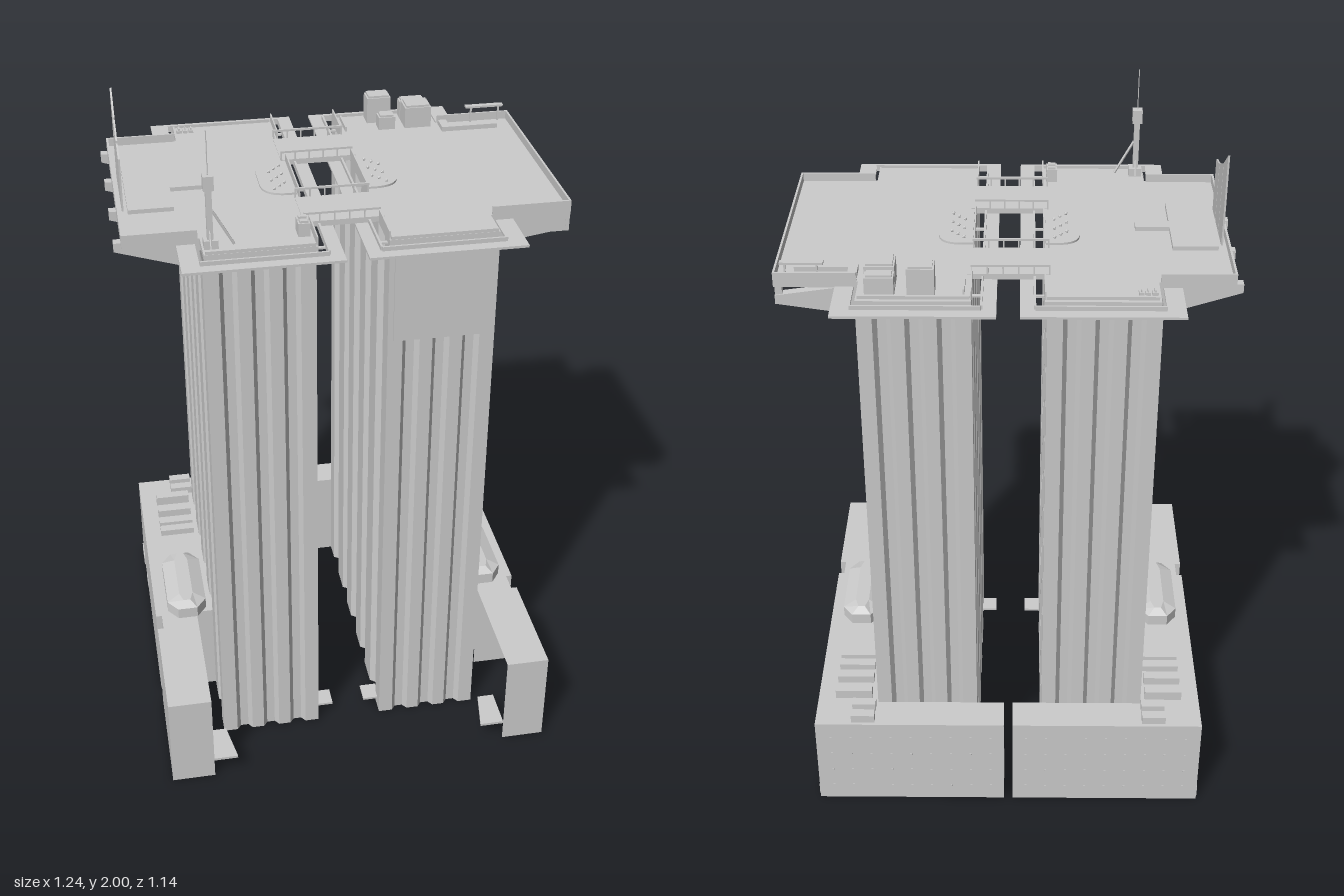
import * as THREE from 'three';

export function createModel() {
  const root = new THREE.Group();
  const mat = new THREE.MeshStandardMaterial({ color: 0xcccccc, flatShading: true, side: THREE.DoubleSide });
  const add = (name, geo) => {
    const m = new THREE.Mesh(geo, mat);
    m.name = name;
    root.add(m);
    return m;
  };
  // Box from its limits; faces listed in open (0 +x, 1 -x, 2 +y, 3 -y, 4 +z, 5 -z) are left out
  const box = (name, x0, x1, y0, y1, z0, z1, open = []) => {
    const g = new THREE.BoxGeometry(Math.abs(x1 - x0), y1 - y0, z1 - z0);
    g.translate((x0 + x1) / 2, (y0 + y1) / 2, (z0 + z1) / 2);
    if (open.length) g.setIndex([...g.index.array].filter((_, i) => !open.includes(Math.floor(i / 6))));
    return add(name, g);
  };
  // Plan outline of [x, z] points raised from y0 to y1
  const plan = (pts, y0, y1, hole) => {
    const v = p => p.map(([x, z]) => new THREE.Vector2(x, -z));
    const s = new THREE.Shape(v(pts));
    if (hole) s.holes.push(new THREE.Path(v(hole)));
    return new THREE.ExtrudeGeometry(s, { depth: y1 - y0, bevelEnabled: false }).rotateX(-Math.PI / 2).translate(0, y0, 0);
  };
  const rect = (x0, x1, z0, z1) => [[x0, z0], [x0, z1], [x1, z1], [x1, z0]];
  const beam = (name, a, b, r) => {
    const p = new THREE.Vector3(...a), q = new THREE.Vector3(...b);
    const m = add(name, new THREE.CylinderGeometry(r, r, p.distanceTo(q), 6));
    m.position.copy(p).lerp(q, 0.5);
    m.quaternion.setFromUnitVectors(new THREE.Vector3(0, 1, 0), q.sub(p).normalize());
  };

  // Tower walls: rectangle with slanted vertical recesses, open at the ground
  const longBays = [[0.07, 0.17], [0.27, 0.36], [0.45, 0.55], [0.64, 0.73], [0.83, 0.93]];
  const shortBays = [[0.14, 0.3], [0.42, 0.58], [0.7, 0.86]];
  const tower = (x0, x1) => {
    const c = rect(x0, x1, -0.47, 0.39), pts = [];
    c.forEach(([ax, az], i) => {
      const [bx, bz] = c[(i + 1) % 4];
      const L = Math.hypot(bx - ax, bz - az), ux = (bx - ax) / L, uz = (bz - az) / L;
      const at = (t, d) => pts.push([ax + ux * t * L + uz * d, az + uz * t * L - ux * d]);
      at(0, 0);
      for (const [s, e] of i % 2 ? shortBays : longBays) {
        const k = 0.012 / L;
        at(s, 0); at(s + k, 0.016); at(e - k, 0.016); at(e, 0);
      }
    });
    const g = plan(pts, 0, 1.66), side = g.groups[1];
    const walls = new THREE.BufferGeometry();
    walls.setAttribute('position', new THREE.BufferAttribute(
      g.attributes.position.array.slice(side.start * 3, (side.start + side.count) * 3), 3));
    walls.computeVertexNormals();
    add('towerWalls', walls);
  };
  tower(-0.4, -0.1);
  tower(0.095, 0.395);
  box('frontPanel', 0.11, 0.39, 1.37, 1.66, 0.37, 0.396);

  for (const s of [-1, 1]) {
    const inner = s > 0 ? 1 : 0, outer = 1 - inner;
    // Podium: hollow shells, open below
    box('podiumFrontBlock', s * 0.45, s * 0.578, 0, 0.3, 0.22, 0.57, [3, inner]);
    box('podiumSlot', s * 0.45, s * 0.56, 0, 0.3, 0.16, 0.22, [3, inner, 4, 5]);
    box('podiumSide', s * 0.39, s * 0.578, 0, 0.3, -0.57, 0.16, [3, inner]);
    box('podiumBack', s * 0.013, s * 0.39, 0, 0.3, -0.57, -0.47, [3, outer]);
    box('sideDoor', s * 0.57, s * 0.581, 0.005, 0.04, -0.56, -0.48);
    box('sideVent', s * 0.57, s * 0.58, 0.03, 0.05, -0.37, -0.32);
    for (let r = 0; r < 4; r++) for (let i = 0; i < 9; i++)
      box('backWindow', s * (0.05 + i * 0.06), s * (0.056 + i * 0.06), 0.05 + r * 0.065, 0.055 + r * 0.065, -0.572, -0.565);

    // Entrance canopies
    add('entranceCanopy', plan([[s * 0.45, 0.45], [s * 0.45, 0.57], [s * 0.378, 0.57], [s * 0.4, 0.45]], 0.06, 0.068));
    box('innerCanopy', s * 0.05, s * 0.1, 0.028, 0.035, 0.3, 0.36);

    // Long skylight with chamfered corners and a sloping roof
    const ring = k => [[-0.03, 0.14], [0.03, 0.14], [0.06, 0.1], [0.06, -0.1], [0.03, -0.14], [-0.03, -0.14], [-0.06, -0.1], [-0.06, 0.1]]
      .map(([x, z]) => [s * 0.478 + x * k, 0.04 + z * (k < 1 ? 0.85 : 1)]);
    add('skylightBase', plan(ring(1), 0.3, 0.335));
    const lo = ring(1), hi = ring(0.35), tri = [];
    lo.forEach((a, i) => {
      const j = (i + 1) % 8, A = [a[0], 0.335, a[1]], B = [lo[j][0], 0.335, lo[j][1]];
      const C = [hi[j][0], 0.353, hi[j][1]], D = [hi[i][0], 0.353, hi[i][1]], T = [s * 0.478, 0.353, 0.04];
      tri.push(...A, ...B, ...C, ...A, ...C, ...D, ...D, ...C, ...T);
    });
    const roof = new THREE.BufferGeometry();
    roof.setAttribute('position', new THREE.Float32BufferAttribute(tri, 3));
    roof.computeVertexNormals();
    add('skylightRoof', roof);

    // Plant boxes on the podium
    [-0.265, -0.31, -0.37, -0.44, -0.495, -0.545].forEach((z, i) =>
      box('plantBox', s * (i > 3 ? 0.4 : 0.415), s * (i > 3 ? 0.47 : 0.525), 0.3, [0.32, 0.32, 0.325, 0.33, 0.325, 0.325][i], z - 0.015, z + 0.015));

    // Flange floating round the tower top
    add('topFlange', plan(rect(s * 0.03, s * 0.458, -0.522, 0.45), 1.653, 1.66, rect(s * 0.072, s * 0.408, -0.482, 0.412)));
    box('flangeRail', s * 0.066, s * 0.072, 1.66, 1.672, -0.482, 0.412);
    for (const z of [-0.485, 0.415]) box('flangeRail', s * 0.07, s * 0.408, 1.66, 1.672, z - 0.003, z + 0.003);
    for (const z of [-0.4, -0.2, 0, 0.2, 0.36]) box('flangeBracket', s * 0.07, s * 0.11, 1.653, 1.658, z - 0.005, z + 0.005);

    // Roof deck with its side wing
    const X = s > 0 ? 0.62 : 0.6;
    add('roofDeck', plan([[s * 0.095, -0.47], [s * 0.095, 0.39], [s * 0.395, 0.39], [s * 0.395, 0.29],
      [s * X, 0.29], [s * X, -0.36], [s * 0.395, -0.36], [s * 0.395, -0.47]], 1.658, 1.676));
    box('wingParapet', s * (X - 0.006), s * X, 1.676, 1.7, -0.36, 0.29);
    for (const z of [-0.357, 0.287]) box('wingParapet', s * 0.4, s * X, 1.676, 1.7, z - 0.003, z + 0.003);
    for (const z of [-0.455, 0.385]) box('roofKerb', s * 0.1, s * 0.39, 1.676, 1.685, z - 0.004, z + 0.004);
    for (const [a, b] of [[-0.46, -0.32], [-0.16, 0.09], [0.25, 0.385]])
      box('edgeRail', s * 0.094, s * 0.098, 1.676, 1.7, a, b);

    // Tapered brackets beneath the wing
    for (const z of [-0.335, -0.138, 0.055, 0.248]) {
      const sh = new THREE.Shape([[0.39, 1.66], [0.39, 1.568], [0.62, 1.64], [0.62, 1.665]]
        .map(([x, y]) => new THREE.Vector2(s * x, s > 0 && x > 0.6 ? y - 0.038 : y)));
      add('wingBracket', new THREE.ExtrudeGeometry(sh, { depth: 0.026, bevelEnabled: false }).translate(0, 0, z - 0.013));
    }

    // Rounded planters with small shrubs
    const bed = new THREE.Shape();
    bed.moveTo(s * 0.1, -0.07);
    bed.lineTo(s * 0.13, -0.07);
    bed.quadraticCurveTo(s * 0.195, -0.065, s * 0.195, 0);
    bed.lineTo(s * 0.195, 0.08);
    bed.quadraticCurveTo(s * 0.195, 0.14, s * 0.13, 0.14);
    bed.lineTo(s * 0.1, 0.14);
    add('planter', new THREE.ExtrudeGeometry(bed, { depth: 0.006, bevelEnabled: false }).rotateX(-Math.PI / 2).translate(0, 1.676, 0));
    for (let i = 0; i < 9; i++)
      add('shrub', new THREE.IcosahedronGeometry(0.005, 0)).position.set(s * (0.125 + (i % 3) * 0.017), 1.686, -0.11 + i * 0.019);
  }

  // Deep hanging fascia on the left wing and the posts of its open part
  box('wingFascia', 0.608, 0.619, 1.61, 1.66, -0.06, 0.29);
  box('wingEndFascia', 0.395, 0.619, 1.61, 1.66, 0.278, 0.289);
  box('wingCrossWall', 0.395, 0.619, 1.61, 1.66, -0.065, -0.055);
  for (const z of [-0.14, -0.335]) box('wingPost', 0.6, 0.619, 1.61, 1.66, z - 0.01, z + 0.01);
  box('roofBench', 0.4, 0.57, 1.676, 1.69, -0.305, -0.288);
  box('roofBench', 0.4, 0.425, 1.676, 1.69, -0.345, -0.305);
  box('canopySlab', 0.485, 0.6, 1.722, 1.728, -0.357, -0.34);
  for (const x of [0.5, 0.585]) box('canopyPost', x, x + 0.005, 1.676, 1.722, -0.35, -0.345);

  // Bridges between the roofs
  for (const z of [-0.24, 0.17]) {
    box('bridge', -0.11, 0.11, 1.662, 1.678, z - 0.078, z + 0.078);
    for (const e of [-0.078, 0.078]) {
      box('bridgeRail', -0.11, 0.1, 1.7, 1.706, z + e - 0.003, z + e + 0.003);
      for (let i = 0; i < 6; i++) box('railPost', -0.11 + i * 0.041, -0.106 + i * 0.041, 1.676, 1.7, z + e - 0.002, z + e + 0.002);
    }
  }

  // Three rising sail plates and the T-shaped terrace beside them
  [[0.095, 0.023, 1.83, 1.845], [0.019, -0.058, 1.85, 1.88], [-0.062, -0.14, 1.885, 1.94]].forEach(([a, b, ya, yb]) => {
    const sh = new THREE.Shape([[-a, 1.676], [-b, 1.676], [-b, yb], [-a, ya]].map(p => new THREE.Vector2(...p)));
    add('sailPlate', new THREE.ExtrudeGeometry(sh, { depth: 0.005, bevelEnabled: false }).rotateY(Math.PI / 2).translate(-0.585, 0, 0));
  });
  add('terrace', plan([[-0.57, -0.17], [-0.57, 0.115], [-0.445, 0.115], [-0.445, -0.01], [-0.35, -0.01], [-0.35, -0.05], [-0.445, -0.05], [-0.445, -0.17]], 1.676, 1.688));

  // Antenna mast
  box('mastFoot', -0.39, -0.352, 1.676, 1.7, 0.325, 0.36);
  box('mast', -0.38, -0.364, 1.7, 1.84, 0.335, 0.352);
  box('mastHead', -0.386, -0.358, 1.84, 1.88, 0.328, 0.358);
  beam('antenna', [-0.372, 1.88, 0.344], [-0.372, 2, 0.344], 0.0015);
  beam('mastStrut', [-0.365, 1.78, 0.344], [-0.31, 1.68, 0.344], 0.004);
  for (const z of [0.32, 0.368]) beam('mastBrace', [-0.372, 1.74, 0.344], [-0.372, 1.68, z], 0.003);

  // Rooftop machinery
  const units = [[0.19, 0.262, 1.76, -0.445, -0.39], [0.215, 0.265, 1.72, -0.375, -0.333], [0.295, 0.375, 1.745, -0.4, -0.333],
    [0.295, 0.372, 1.735, -0.445, -0.407], [-0.138, -0.106, 1.72, 0.282, 0.303], [-0.138, -0.106, 1.72, 0.307, 0.33],
    [-0.388, -0.372, 1.69, -0.435, -0.41], [-0.368, -0.355, 1.69, -0.435, -0.41], [-0.351, -0.338, 1.69, -0.435, -0.41]];
  for (const [a, b, y, c, d] of units) {
    box('roofUnit', a, b, 1.676, y - 0.006, c, d);
    box('roofUnitLid', a + 0.005, b - 0.005, y - 0.006, y, c + 0.004, d - 0.004);
  }
  box('roofScreen', 0.113, 0.118, 1.676, 1.69, -0.43, -0.34);
  return root;
}
